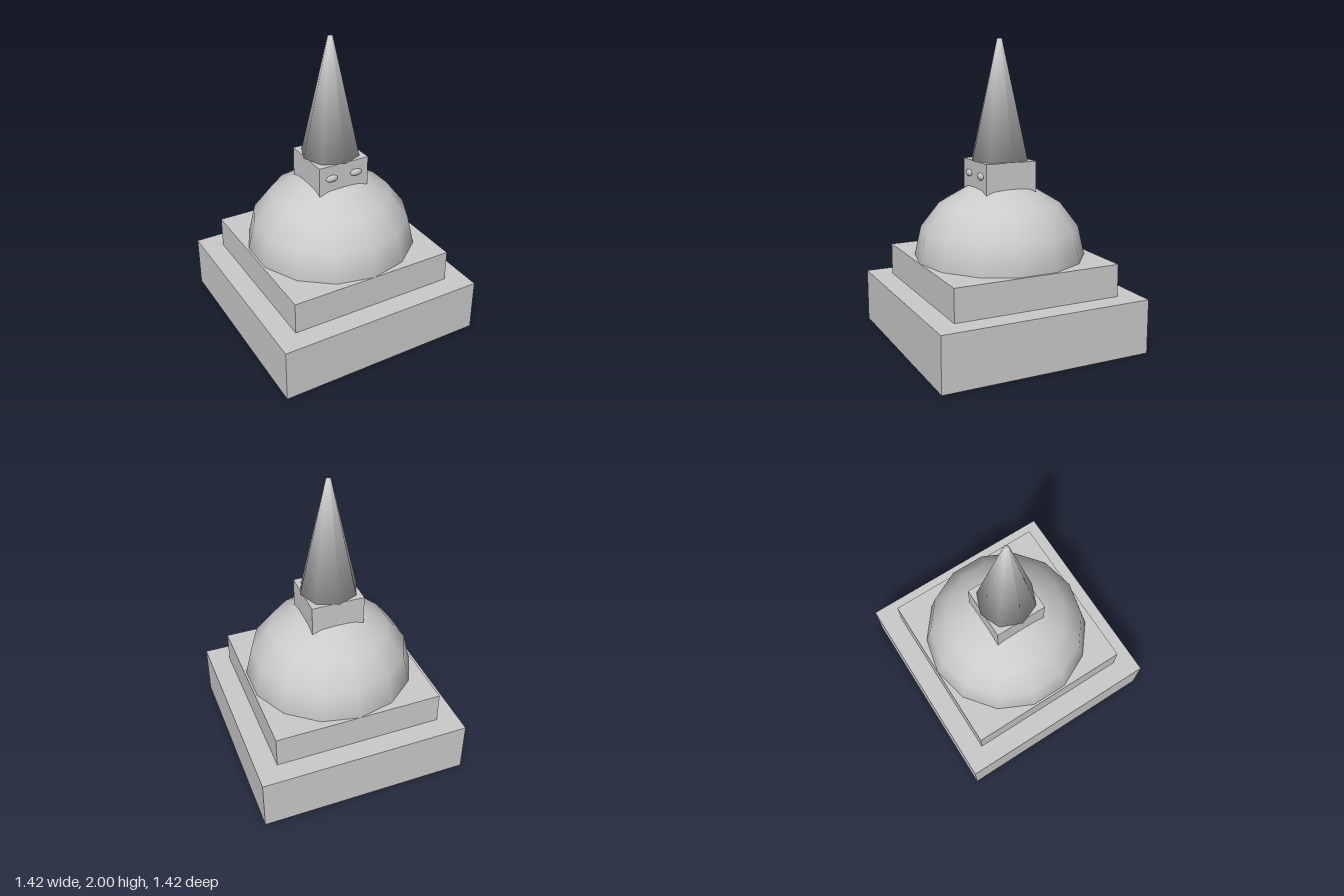
import * as THREE from 'three';
import { mergeVertices } from 'three/addons/utils/BufferGeometryUtils.js';

const material = new THREE.MeshStandardMaterial({ color: 0xcccccc });

function add(group, name, geometry, x = 0, y = 0, z = 0) {
  const mesh = new THREE.Mesh(geometry, material);
  mesh.name = name;
  mesh.position.set(x, y, z);
  group.add(mesh);
  return mesh;
}

// Square block between two heights
function addBlock(group, name, width, bottom, top) {
  return add(group, name, new THREE.BoxGeometry(width, top - bottom, width), 0, (bottom + top) / 2, 0);
}

// Eight-sided spire whose caps and sides share one smooth set of normals
function spireGeometry(topRadius, baseRadius, height) {
  let geometry = new THREE.CylinderGeometry(topRadius, baseRadius, height, 8);
  geometry.deleteAttribute('normal');
  geometry.deleteAttribute('uv');
  geometry = mergeVertices(geometry);
  const pos = geometry.attributes.position;
  const normals = new THREE.Float32BufferAttribute(pos.count * 3, 3);
  const n = new THREE.Vector3();
  for (let i = 0; i < pos.count; i++) {
    const up = pos.getY(i) > 0;
    n.set(pos.getX(i), 0, pos.getZ(i));
    if (n.length() < 1e-4) n.set(0, up ? 1 : -1, 0);
    else n.normalize().setY(up ? 1.0 : -0.6).normalize();
    normals.setXYZ(i, n.x, n.y, n.z);
  }
  geometry.setAttribute('normal', normals);
  return geometry;
}

export function createModel() {
  const model = new THREE.Group();
  model.name = 'stupa';

  // Stepped square base
  addBlock(model, 'lowerTier', 1.424, 0, 0.36);
  addBlock(model, 'upperTier', 1.14, 0.36, 0.575);

  // Low-poly half dome, slightly flattened
  const dome = new THREE.SphereGeometry(0.57, 14, 4, 0, Math.PI * 2, 0, Math.PI / 2);
  dome.rotateY(Math.PI / 2);
  dome.scale(1, 0.5 / 0.57, 1);
  add(model, 'dome', dome, 0, 0.575, 0);

  // Square neck with a pair of eyes on the front
  addBlock(model, 'neck', 0.356, 0.95, 1.217);
  for (const side of [-1, 1]) {
    const eye = new THREE.SphereGeometry(1, 14, 8);
    eye.scale(0.043, 0.024, 0.018);
    add(model, side > 0 ? 'leftEye' : 'rightEye', eye, side * 0.09, 1.128, 0.178);
  }

  // Tapered spire
  add(model, 'spire', spireGeometry(0.017, 0.195, 0.782), 0, 1.609, 0);

  return model;
}
